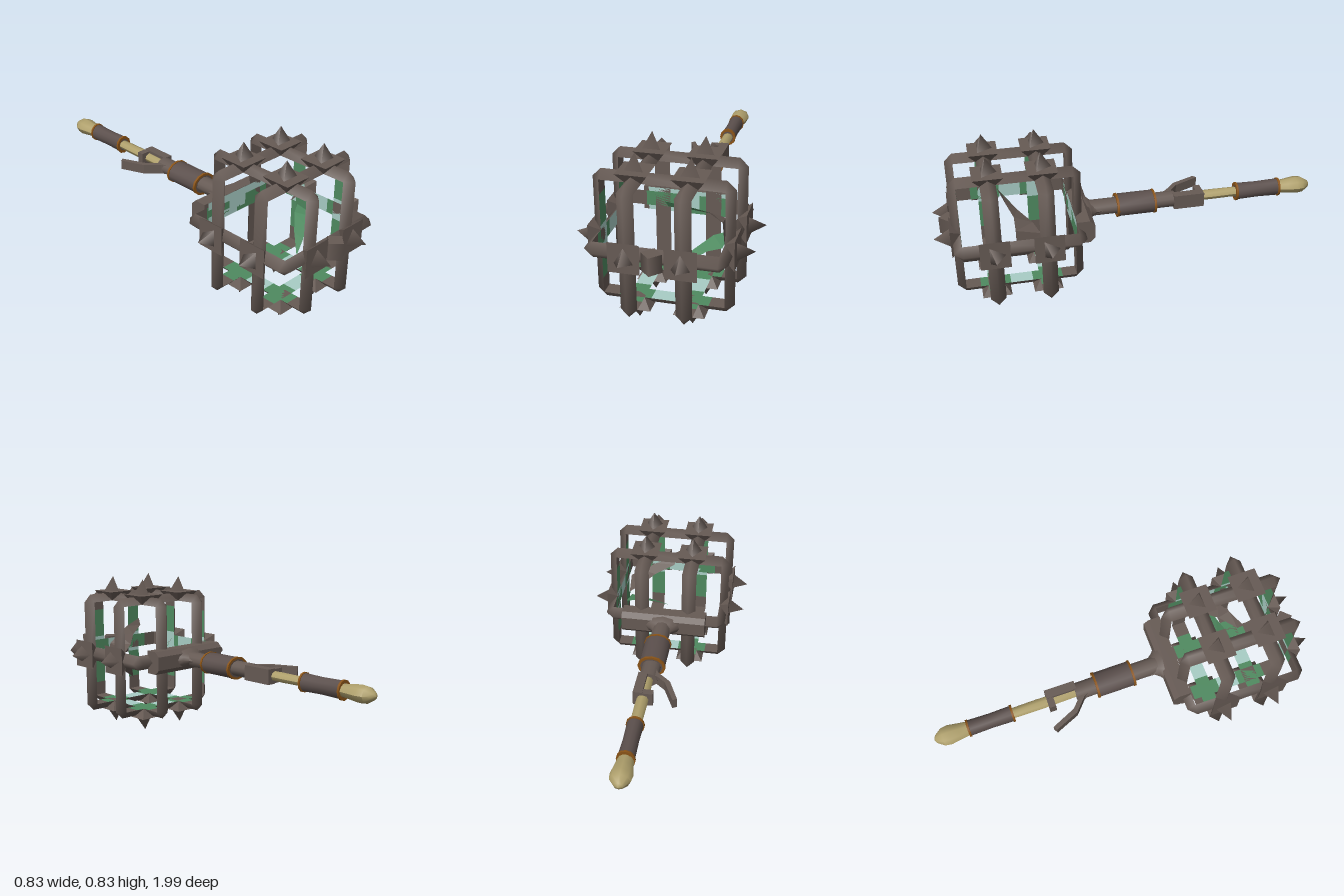
import * as THREE from 'three';
import { toCreasedNormals } from 'three/addons/utils/BufferGeometryUtils.js';

const mat = (name, color) => {
  const m = new THREE.MeshStandardMaterial({ color });
  m.name = name;
  return m;
};
const iron = mat('dark iron', 0x665a54);
const leather = mat('grip wrap', 0x5c504d);
const rust = mat('rusty rim', 0x8a5418);
const bone = mat('bone', 0xafa06c);
const green = mat('glow green', 0x4f8a60);
const pale = mat('glow pale', 0xa8cdc5);

const CY = 0.42, CZ = 0.58; // cage centre

function addMesh(parent, name, geo, material) {
  const m = new THREE.Mesh(geo, material);
  m.name = name;
  parent.add(m);
  return m;
}

// Collects quads (corners anticlockwise) into a flat-shaded geometry
function quadGeometry(quads) {
  const pos = [];
  for (const [a, b, c, d] of quads) for (const p of [a, b, c, a, c, d]) pos.push(...p);
  const g = new THREE.BufferGeometry();
  g.setAttribute('position', new THREE.Float32BufferAttribute(pos, 3));
  g.computeVertexNormals();
  return g;
}

// Rectangular hoop with cut corners: ridged outside, flat inside.
// The inside glows around the middle of each side, except on darkSide.
function makeHoop(name, A, B, darkSide = -1) {
  const w = 0.038, t = 0.04, a = A - t, b = B - t;
  const outer = [[-a, -B], [a, -B], [A, -b], [A, b], [a, B], [-a, B], [-A, b], [-A, -b]];
  const inner = [[-a, -b], [a, -b], [a, -b], [a, b], [a, b], [-a, b], [-a, b], [-a, -b]];
  const shell = [], dark = [], glow = [], middles = [];
  for (let i = 0; i < 8; i++) {
    const j = (i + 1) % 8;
    const o = [...outer[i], 0], p = [...outer[j], 0];
    const at = (q, z) => [...q, z];
    shell.push([at(inner[i], w), o, p, at(inner[j], w)]);
    shell.push([at(inner[j], -w), p, o, at(inner[i], -w)]);
    if (i % 2) continue;
    const lerp = f => inner[i].map((v, k) => v + (inner[j][k] - v) * f);
    const cuts = [0, 0.13, 0.4, 0.6, 0.87, 1].map(lerp);
    const bands = i === darkSide
      ? [dark, dark, dark, dark, dark] : [dark, glow, middles, glow, dark];
    bands.forEach((list, k) => list.push(
      [at(cuts[k], w), at(cuts[k + 1], w), at(cuts[k + 1], -w), at(cuts[k], -w)]));
  }
  const g = new THREE.Group();
  g.name = name;
  addMesh(g, 'hoopBar', toCreasedNormals(quadGeometry(shell), 1.7), iron);
  addMesh(g, 'hoopInsideDark', quadGeometry(dark), iron);
  addMesh(g, 'hoopInsideGlow', quadGeometry(glow), green);
  addMesh(g, 'hoopInsideMiddle', quadGeometry(middles), pale);
  return g;
}

// Flared square stud with a three-sided point, standing along dir
function makeSpike(pos, dir) {
  const g = new THREE.Group();
  g.name = 'spike';
  const stud = new THREE.CylinderGeometry(0.073 * Math.SQRT2, 0.038 * Math.SQRT2, 0.05, 4)
    .toNonIndexed();
  stud.rotateY(Math.PI / 4).translate(0, -0.015, 0).computeVertexNormals();
  addMesh(g, 'spikeStud', stud, iron);
  const tip = new THREE.ConeGeometry(0.05, 0.08, 3, 1, true);
  tip.rotateY(Math.PI).translate(0, 0.05, 0);
  addMesh(g, 'spikePoint', tip, iron);
  g.position.set(...pos);
  g.quaternion.setFromUnitVectors(new THREE.Vector3(0, 1, 0), new THREE.Vector3(...dir));
  return g;
}

// Turned part along z; profile is [radius, z] from back to front, flattened in y
function turned(parent, name, material, profile, flat = 0.82, sides = 12) {
  const pts = profile.map(([r, z]) => new THREE.Vector2(r, z));
  const geo = new THREE.LatheGeometry(pts, sides).rotateX(Math.PI / 2).scale(1, flat, 1);
  return addMesh(parent, name, toCreasedNormals(geo, 0.9), material).translateY(CY);
}

// Thin ring standing slightly proud of a wrap of radius r
function rim(parent, name, r, z, flat) {
  turned(parent, name, rust, [[r - 0.01, z], [r + 0.004, z], [r + 0.004, z + 0.011], [r - 0.01, z + 0.011]], flat);
}

// Bent shard as a ribbon between two edges, one colour per face
function makeShard(parent, name, edges) {
  const inside = [], outside = [];
  for (let i = 0; i < edges.length - 1; i++) {
    const [a, b] = edges[i], [c, d] = edges[i + 1];
    inside.push([a, b, d, c]);
    outside.push([c, d, b, a]);
  }
  addMesh(parent, name + 'Inside', quadGeometry(inside), green);
  addMesh(parent, name + 'Outside', quadGeometry(outside), iron);
}

export function createModel() {
  const model = new THREE.Group();
  model.name = 'cageMace';

  // Cage hoops
  const cage = new THREE.Group();
  cage.name = 'cage';
  model.add(cage);
  for (const z of [0.45, 0.71]) {
    const h = makeHoop('crossHoop', 0.325, 0.325);
    h.position.set(0, CY, z);
    cage.add(h);
  }
  for (const x of [-0.127, 0.127]) {
    const h = makeHoop('lengthHoop', 0.32, 0.325, 2);
    h.rotation.y = Math.PI / 2;
    h.position.set(x, CY, CZ);
    cage.add(h);
  }
  const belt = makeHoop('beltHoop', 0.325, 0.32);
  belt.rotation.x = Math.PI / 2;
  belt.position.set(0, CY, CZ);
  cage.add(belt);

  // Spikes where hoops cross
  for (const s of [-1, 1]) {
    for (const z of [0.45, 0.71]) {
      cage.add(makeSpike([s * 0.325, CY, z], [s, 0, 0]));
      for (const x of [-0.127, 0.127]) cage.add(makeSpike([x, CY + s * 0.325, z], [0, s, 0]));
    }
    cage.add(makeSpike([s * 0.127, CY, 0.9], [0, 0, 1]));
  }
  const nub = addMesh(cage, 'frontNub',
    new THREE.CylinderGeometry(0.048, 0.048, 0.088, 4), iron);
  nub.position.set(0, CY, 0.91);

  // Broken shards inside the cage
  makeShard(cage, 'upperShard', [
    [[-0.01, 0.59, 0.66], [0, 0.555, 0.635]],
    [[0.1, 0.56, 0.63], [0.1, 0.52, 0.575]],
    [[0.18, 0.525, 0.6], [0.17, 0.48, 0.51]],
    [[0.24, 0.485, 0.6], [0.23, 0.45, 0.48]],
    [[0.25, 0.37, 0.6], [0.24, 0.36, 0.48]],
  ]);
  makeShard(cage, 'lowerShard', [
    [[0.03, 0.255, 0.67], [0.03, 0.255, 0.67]],
    [[0.1, 0.325, 0.59], [0.11, 0.3, 0.64]],
    [[0.18, 0.375, 0.52], [0.17, 0.335, 0.61]],
    [[0.25, 0.385, 0.48], [0.24, 0.355, 0.6]],
  ]);

  // Crosspiece joining cage and handle, glowing on its flat front
  const section = [[0.298, -0.06], [0.298, 0.06], [0.235, 0.06], [0.21, 0.035], [0.21, -0.035], [0.235, -0.06]];
  const bar = new THREE.ExtrudeGeometry(
    new THREE.Shape(section.map(([z, y]) => new THREE.Vector2(-z, y))), { depth: 0.45, bevelEnabled: false });
  bar.rotateY(Math.PI / 2).translate(-0.225, CY, 0);
  addMesh(model, 'crosspiece', bar, iron);
  for (const [x, y, wide, m] of [[0, 0.04, 0.4, pale], [-0.1, -0.04, 0.2, pale], [0.1, -0.04, 0.2, green]]) {
    addMesh(model, 'crosspieceGlow', new THREE.PlaneGeometry(wide, 0.04), m)
      .position.set(x, CY + y, 0.3);
  }

  // Iron socket, grip and rims
  turned(model, 'neck', iron, [[0.048, 0.13], [0.05, 0.17], [0.07, 0.195], [0.105, 0.22], [0.105, 0.25]], 0.52);
  turned(model, 'socket', iron, [[0, -0.25], [0.048, -0.25], [0.048, 0.2]]);
  turned(model, 'grip', leather, [[0, -0.14], [0.068, -0.14], [0.068, 0.06], [0, 0.06]]);
  for (const z of [-0.143, 0.052]) rim(model, 'gripRim', 0.068, z, 0.82);

  // Split end of the socket
  addMesh(model, 'socketTongue', new THREE.BoxGeometry(0.046, 0.076, 0.16), iron)
    .position.set(0.025, CY, -0.32);
  addMesh(model, 'socketTab', new THREE.BoxGeometry(0.055, 0.07, 0.035), iron)
    .position.set(-0.022, CY, -0.383);
  const outline = [[-0.03, -0.18], [-0.048, -0.215], [-0.115, -0.275], [-0.168, -0.4],
    [-0.148, -0.413], [-0.09, -0.285], [-0.045, -0.245], [-0.02, -0.24]];
  const splinter = new THREE.ExtrudeGeometry(
    new THREE.Shape(outline.map(p => new THREE.Vector2(...p))), { depth: 0.05, bevelEnabled: false });
  splinter.rotateX(Math.PI / 2).translate(0, CY + 0.025, 0);
  addMesh(model, 'bentSplinter', splinter, iron);

  // Bone shaft, lower wrap and knuckle end
  turned(model, 'boneShaft', bone, [[0.028, -0.6], [0.03, -0.45], [0.026, -0.23], [0, -0.23]], 0.85, 8);
  turned(model, 'lowerWrap', leather, [[0, -0.82], [0.041, -0.82], [0.038, -0.7], [0.041, -0.585], [0, -0.585]], 1.1);
  for (const z of [-0.825, -0.593]) rim(model, 'wrapRim', 0.041, z, 1.1);
  turned(model, 'boneKnuckle', bone,
    [[0, -1], [0.022, -0.99], [0.048, -0.955], [0.053, -0.92], [0.045, -0.87], [0.036, -0.81]], 0.82, 8);

  return model;
}
